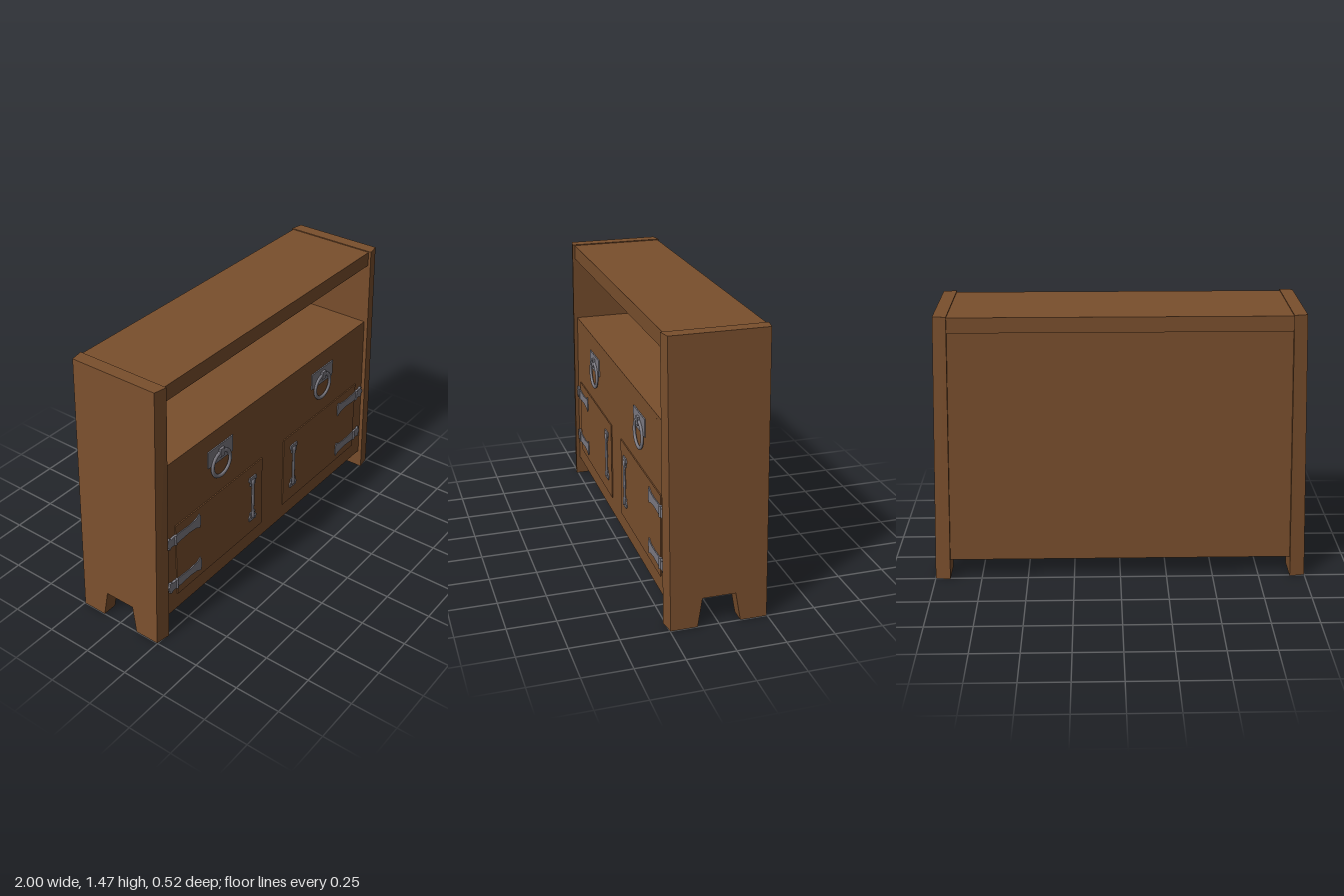
import * as THREE from 'three';

const wood = new THREE.MeshStandardMaterial({ color: 0x7a4f2d });
wood.name = 'brown wood';
const iron = new THREE.MeshStandardMaterial({ color: 0x7d7b83 });
iron.name = 'grey iron';

const HEIGHT = 1.465;
const FRONT = 0.238; // z of the front panel
const innerX = (y) => 0.92 - (0.055 * y) / HEIGHT; // slanted inner face of the sides
const outerX = (y) => 1.0 - (0.066 * y) / HEIGHT;

function add(parent, name, geometry, material, x = 0, y = 0, z = 0) {
  const mesh = new THREE.Mesh(geometry, material);
  mesh.name = name;
  mesh.position.set(x, y, z);
  parent.add(mesh);
  return mesh;
}

function outline(points) {
  return new THREE.Shape(points.map(([x, y]) => new THREE.Vector2(x, y)));
}

function plate(points, depth) {
  return new THREE.ExtrudeGeometry(outline(points), { depth, bevelEnabled: false });
}

// Board spanning between the two leaning sides
function board(parent, name, y0, y1, z0, z1) {
  const a = innerX(y0) + 0.004;
  const b = innerX(y1) + 0.004;
  add(parent, name, plate([[-a, y0], [a, y0], [b, y1], [-b, y1]], z1 - z0), wood, 0, 0, z0);
}

// Leaning side with a notch that leaves two feet; its long edges narrow outwards
function sideGeometry() {
  const g = plate([
    [-0.26, 0], [-0.11, 0], [-0.085, 0.15], [0.085, 0.15],
    [0.11, 0], [0.26, 0], [0.26, HEIGHT], [-0.26, HEIGHT],
  ], 1);
  g.rotateY(Math.PI / 2);
  const p = g.attributes.position;
  for (let i = 0; i < p.count; i++) {
    const t = p.getX(i);
    const y = p.getY(i);
    const z = p.getZ(i);
    p.setX(i, THREE.MathUtils.lerp(innerX(y), outerX(y), t));
    if (Math.abs(z) > 0.2) p.setZ(i, z - Math.sign(z) * 0.013 * t);
  }
  g.computeVertexNormals();
  return g;
}

// Strap hinge with flared ends, running outwards from the door
function addHinge(parent, s, y) {
  const upper = [
    [0.63, 0.022], [0.637, 0.044], [0.665, 0.028], [0.72, 0.022], [0.82, 0.028],
    [0.86, 0.024], [0.872, 0.034], [0.882, 0.03], [0.882, 0.016], [0.892, 0.008],
  ];
  const lower = upper.map(([x, v]) => [x, -v]).reverse();
  const points = [...upper, ...lower].map(([x, v]) => [x * s, v]);
  const hinge = new THREE.Group();
  hinge.name = 'hinge';
  hinge.position.set(0, y, FRONT);
  add(hinge, 'hingeStrap', plate(points, 0.011), iron);
  add(hinge, 'hingeKnuckle', new THREE.CylinderGeometry(0.008, 0.008, 0.058, 10), iron, 0.828 * s, 0, 0.009);
  parent.add(hinge);
}

// Upright door handle: two mounts joined by a waisted bar
function addHandle(parent, x, y) {
  const handle = new THREE.Group();
  handle.name = 'doorHandle';
  handle.position.set(x, y, FRONT + 0.006);
  const profile = [[0, -0.125], [0.016, -0.125], [0.013, -0.1], [0.009, -0.07],
    [0.012, 0], [0.009, 0.07], [0.013, 0.1], [0.016, 0.125], [0, 0.125]];
  const bar = new THREE.LatheGeometry(profile.map(([r, h]) => new THREE.Vector2(r, h)), 12);
  bar.scale(1, 1, 0.6);
  add(handle, 'handleBar', bar, iron, 0, 0, 0.006);
  for (const s of [-1, 1]) {
    const mount = plate([[-0.022, 0.09], [0.022, 0.09], [0.02, 0.105], [0.033, 0.122],
      [0.028, 0.143], [-0.028, 0.143], [-0.033, 0.122], [-0.02, 0.105]]
      .map(([px, py]) => [px, py * s]), 0.007);
    add(handle, 'handleMount', mount, iron);
  }
  parent.add(handle);
}

// Pull ring hanging from a plate
function addRingPull(parent, x) {
  const pull = new THREE.Group();
  pull.name = 'ringPull';
  pull.position.set(x, 0.812, FRONT);
  add(pull, 'ringPlate', new THREE.BoxGeometry(0.2, 0.095, 0.009), iron, 0, 0.066, 0.002);
  const ring = new THREE.TorusGeometry(0.071, 0.011, 10, 32);
  ring.scale(1, 1, 0.7);
  add(pull, 'ring', ring, iron, 0, 0, 0.01);
  add(pull, 'ringClasp', new THREE.BoxGeometry(0.034, 0.046, 0.014), iron, 0, 0.07, 0.012);
  parent.add(pull);
}

export function createModel() {
  const model = new THREE.Group();
  model.name = 'cabinet';

  // Carcass
  const side = sideGeometry();
  add(model, 'leftSide', side, wood);
  add(model, 'rightSide', side, wood).rotation.y = Math.PI;
  board(model, 'topBoard', 1.38, 1.46, -0.253, 0.245);
  board(model, 'backPanel', 0.11, 1.38, -0.243, -0.228);
  board(model, 'counter', 1.0, 1.022, -0.23, FRONT);
  board(model, 'frontPanel', 0.11, 1.0, FRONT - 0.015, FRONT);

  for (const s of [-1, 1]) {
    // Cupboard box behind each door
    add(model, 'cupboard', new THREE.BoxGeometry(0.72, 0.435, 0.44), wood, 0.46 * s, 0.42, 0.004);
    add(model, 'door', new THREE.BoxGeometry(0.72, 0.435, 0.014), wood, 0.46 * s, 0.42, FRONT - 0.001);
    addHandle(model, 0.19 * s, 0.428);
    for (const y of [0.28, 0.56]) addHinge(model, s, y);
    addRingPull(model, 0.456 * s);
  }
  return model;
}
